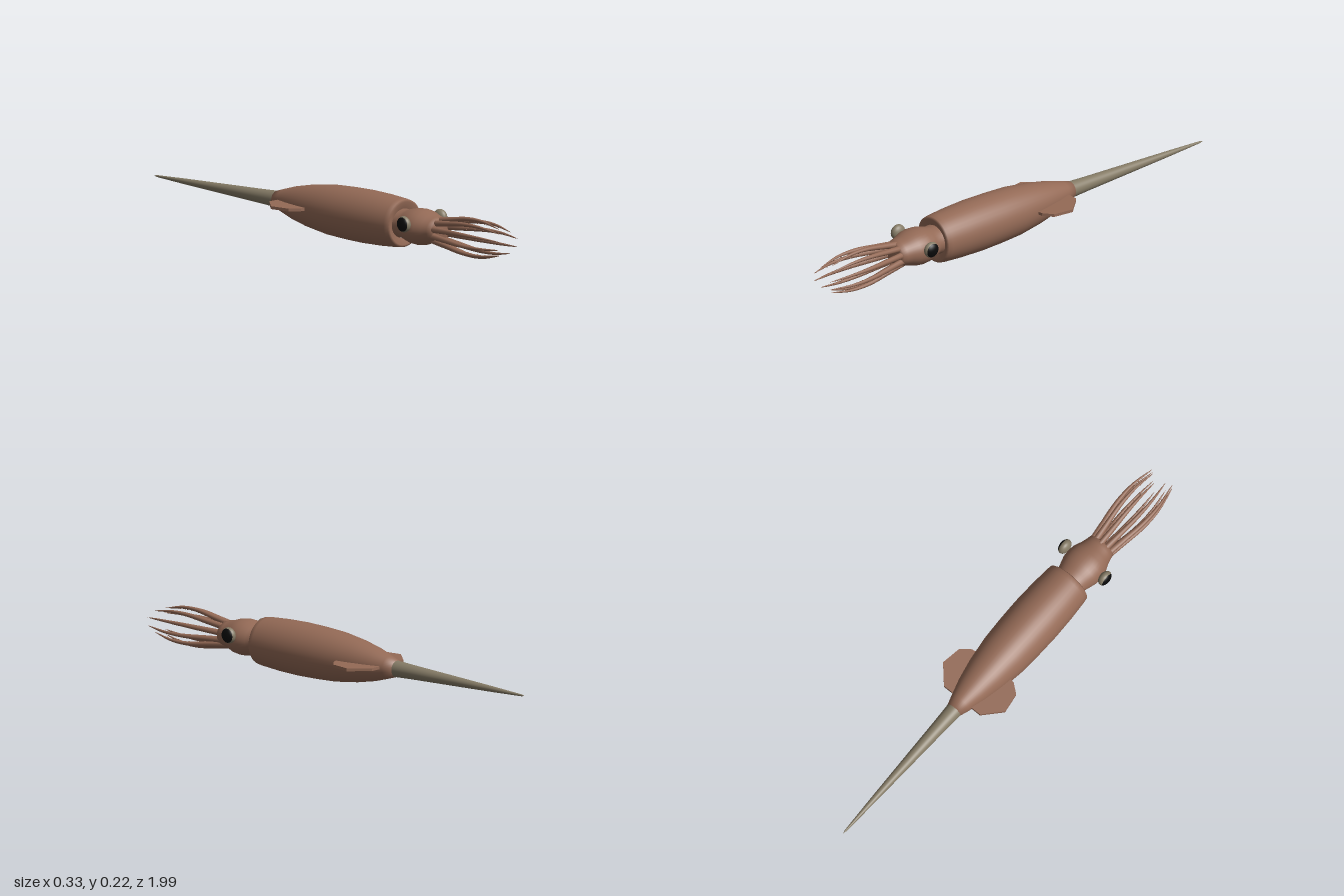
import * as THREE from 'three';

const AXIS_Y = 0.11;

const material = (name, color) => {
  const m = new THREE.MeshStandardMaterial({ color });
  m.name = name;
  return m;
};

export function createModel() {
  const skin = material('brown skin', 0x946a56);
  const shell = material('grey tan', 0x857b66);
  const black = material('pupil black', 0x0a0a0a);

  const model = new THREE.Group();
  model.name = 'belemnite';

  const add = (name, geometry, mat, parent = model) => {
    const mesh = new THREE.Mesh(geometry, mat);
    mesh.name = name;
    parent.add(mesh);
    return mesh;
  };

  // Body of revolution along z from [radius, z] pairs, back to front
  const revolve = (pairs, sx = 1, sy = 1) =>
    new THREE.LatheGeometry(pairs.map(([r, z]) => new THREE.Vector2(r, z)), 40)
      .rotateX(Math.PI / 2).scale(sx, sy, 1).translate(0, AXIS_Y, 0);

  // Mantle with its front lip turned in, and the long pointed guard behind it
  add('mantle', revolve([
    [0, -0.315], [0.034, -0.31], [0.047, -0.27], [0.068, -0.2], [0.087, -0.11], [0.102, 0],
    [0.107, 0.1], [0.109, 0.2], [0.106, 0.3], [0.1, 0.385], [0.097, 0.405], [0.088, 0.41], [0.06, 0.4],
  ]), skin);
  add('guard', revolve([[0, -1], [0.004, -0.985], [0.012, -0.82], [0.021, -0.6], [0.029, -0.4], [0.034, -0.3]]), shell);

  // Head, wider than tall
  add('head', revolve([
    [0.062, 0.39], [0.06, 0.42], [0.067, 0.445], [0.075, 0.475], [0.077, 0.505], [0.073, 0.535],
    [0.062, 0.565], [0.056, 0.59], [0.052, 0.61], [0.04, 0.616], [0, 0.618],
  ], 1.15, 0.96), skin);

  // Eyes: flattened balls whose outer cap is the pupil
  for (const [side, s] of [['left', 1], ['right', -1]]) {
    const eye = new THREE.Group();
    eye.name = side + 'Eye';
    eye.position.set(s * 0.105, 0.135, 0.505);
    const split = 1.08;
    const ball = (from, length) => new THREE.SphereGeometry(1, 28, 14, 0, Math.PI * 2, from, length)
      .rotateZ(-s * Math.PI / 2).scale(0.022, 0.033, 0.033);
    add(side + 'Eyeball', ball(split, Math.PI - split), shell, eye);
    add(side + 'Pupil', ball(0, split), black, eye);
    model.add(eye);

    // Flat angular fin near the back of the mantle
    const outline = [[0.03, -0.26], [0.095, -0.26], [0.163, -0.185], [0.15, -0.1], [0.11, -0.068], [0.06, -0.06]];
    const shape = new THREE.Shape(outline.map(([x, z]) => new THREE.Vector2(s * x, -z)));
    add(side + 'Fin', new THREE.ExtrudeGeometry(shape, { depth: 0.012, bevelEnabled: false })
      .rotateX(-Math.PI / 2).translate(0, 0.109, 0), skin);
  }

  // Ten tapering arms in a ring, bowed outward, with small bumps on the inner side
  const SEGMENTS = 24, SIDES = 10;
  const bump = new THREE.SphereGeometry(0.003, 6, 4);
  for (let i = 0; i < 10; i++) {
    const angle = i * Math.PI / 5;
    const tip = 0.94 + 0.055 * Math.abs(Math.sin(angle));
    const at = (r, t) => new THREE.Vector3(
      Math.sin(angle) * r, 0.104 + Math.cos(angle) * r, 0.585 + (tip - 0.585) * t);
    const curve = new THREE.CatmullRomCurve3(
      [at(0.042, 0), at(0.056, 0.22), at(0.073, 0.5), at(0.073, 0.74), at(0.054, 1)]);
    const radius = (u) => 0.0135 * Math.pow(1 - u, 0.65);

    const tube = new THREE.TubeGeometry(curve, SEGMENTS, 1, SIDES);
    const pos = tube.attributes.position, v = new THREE.Vector3();
    for (let k = 0; k < pos.count; k++) {
      const u = Math.floor(k / (SIDES + 1)) / SEGMENTS;
      const centre = curve.getPointAt(u);
      v.fromBufferAttribute(pos, k).sub(centre).multiplyScalar(radius(u)).add(centre);
      pos.setXYZ(k, v.x, v.y, v.z);
    }
    const arm = new THREE.Group();
    arm.name = 'arm' + (i + 1);
    add('armTube', tube, skin, arm);

    const inward = new THREE.Vector3(-Math.sin(angle), -Math.cos(angle), 0);
    for (let j = 0; j < 6; j++) {
      const u = 0.3 + j * 0.1;
      add('sucker', bump, skin, arm).position.copy(curve.getPointAt(u)).addScaledVector(inward, radius(u));
    }
    model.add(arm);
  }
  return model;
}
